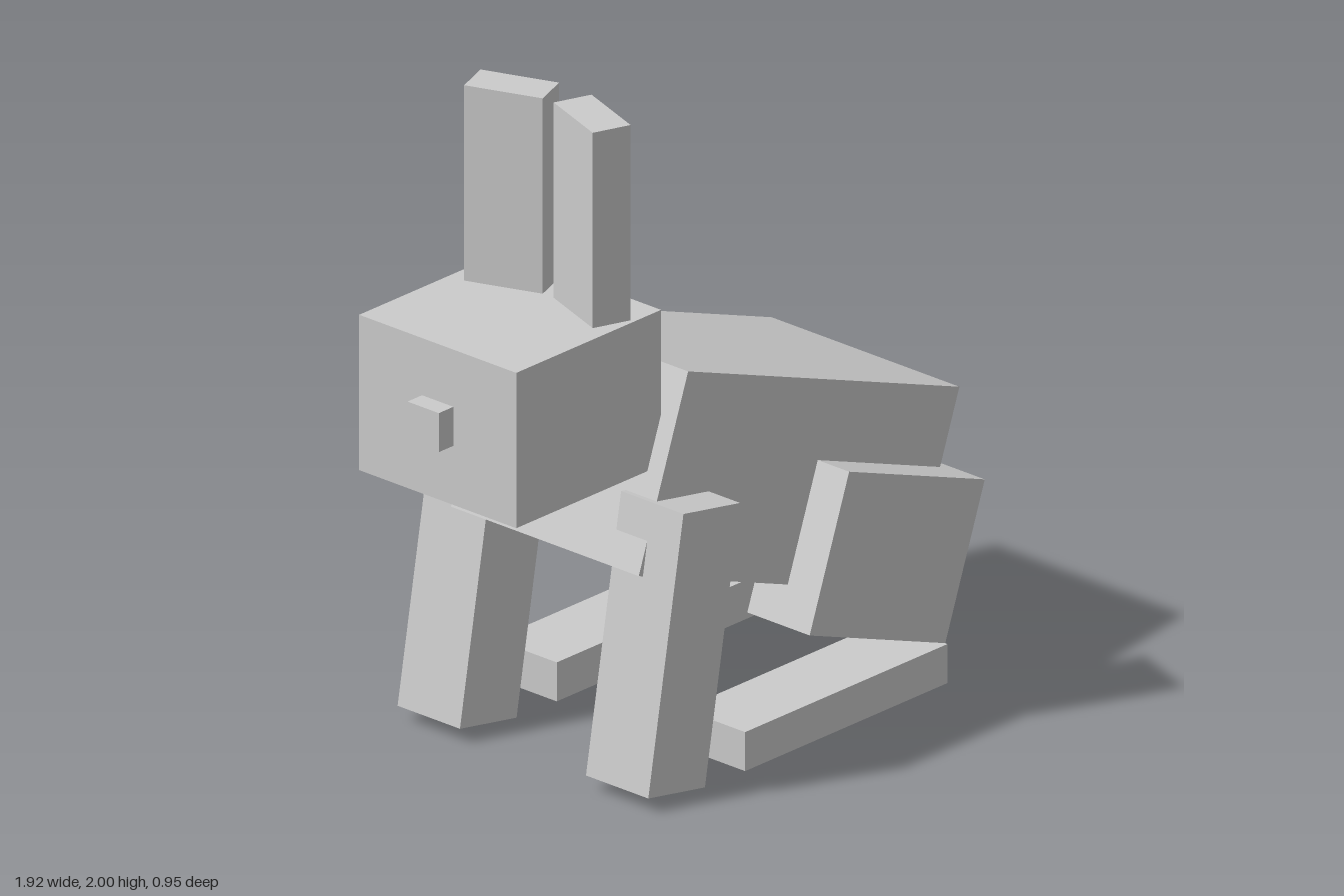
import * as THREE from 'three';

const material = new THREE.MeshStandardMaterial({ color: 0xcccccc, flatShading: true });
const deg = THREE.MathUtils.degToRad;

// One block: size and centre as [x, y, z], pitch about z and yaw about y in degrees
function block(name, size, centre, pitch = 0, yaw = 0) {
  const mesh = new THREE.Mesh(new THREE.BoxGeometry(...size), material);
  mesh.name = name;
  mesh.position.set(...centre);
  mesh.rotation.set(0, deg(yaw), deg(pitch));
  return mesh;
}

export function createModel() {
  const rabbit = new THREE.Group();
  rabbit.name = 'rabbit';

  // Body slopes down from the shoulders to the tail; the head points to -x
  rabbit.add(
    block('body', [1.19, 0.595, 0.714], [0.2, 0.735, 0], -20),
    block('tail', [0.238, 0.357, 0.357], [0.783, 0.433, 0], -20),
    block('head', [0.597, 0.474, 0.597], [-0.604, 1.167, 0]),
    block('nose', [0.119, 0.119, 0.119], [-0.903, 1.17, 0])
  );

  // Paired parts, mirrored in z
  for (const [side, s] of [['Near', 1], ['Far', -1]]) {
    rabbit.add(
      block('ear' + side, [0.119, 0.597, 0.238], [-0.432, 1.7015, s * 0.153], 0, -20 * s),
      block('frontLeg' + side, [0.237, 0.834, 0.237], [-0.362, 0.435, s * 0.358], -10),
      block('haunch' + side, [0.595, 0.476, 0.237], [0.475, 0.45, s * 0.358], -20),
      block('hindFoot' + side, [0.834, 0.119, 0.237], [0.265, 0.0595, s * 0.358])
    );
  }
  return rabbit;
}
